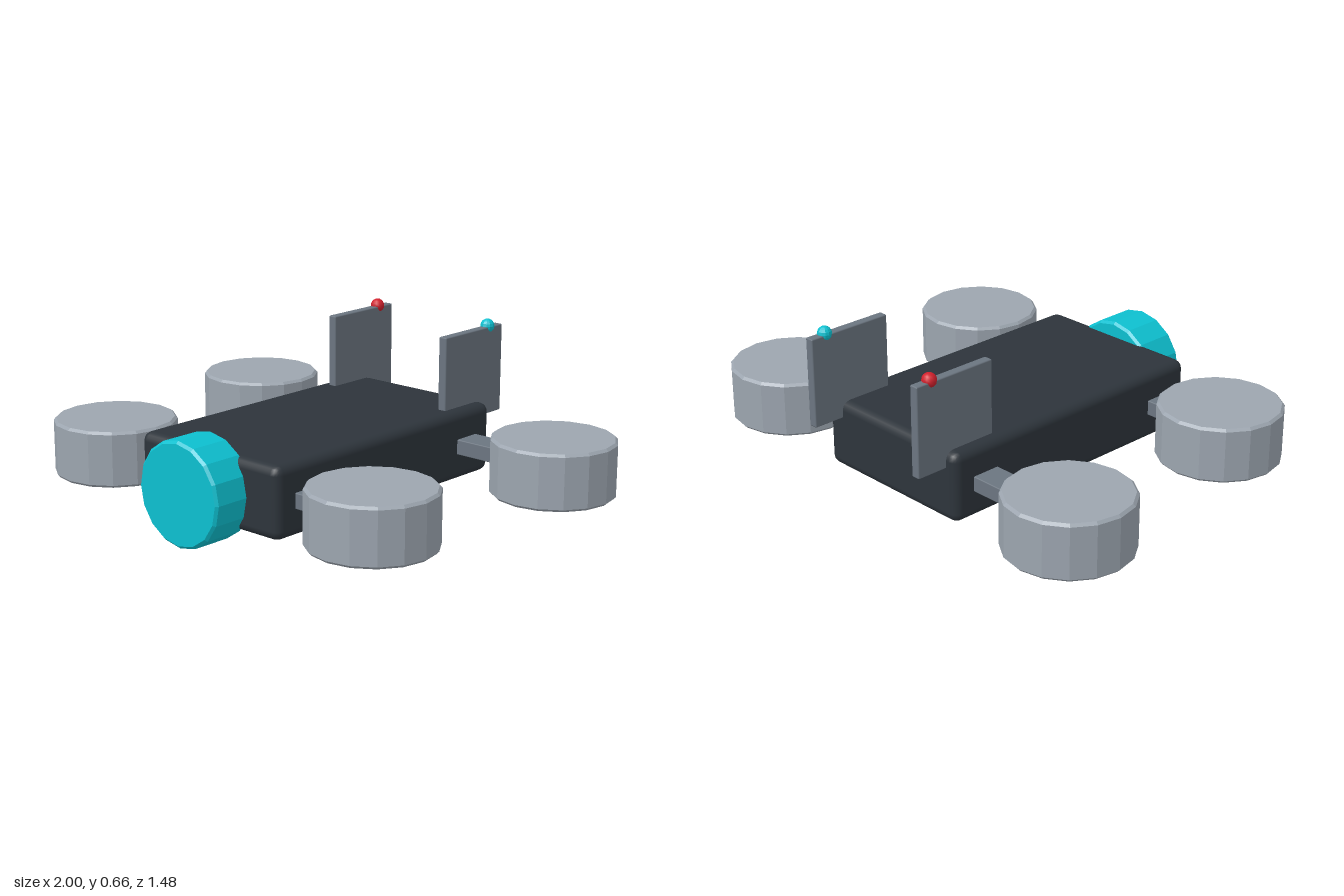
import * as THREE from 'three';
import { RoundedBoxGeometry } from 'three/addons/geometries/RoundedBoxGeometry.js';

function material(name, color, flatShading = false) {
  const m = new THREE.MeshStandardMaterial({ color, flatShading });
  m.name = name;
  return m;
}

// Upright 16-sided drum, centred on its origin, with a small bevel on both rims
function drum(radius, height, bevel) {
  const h = height / 2;
  const profile = [
    [0, -h], [radius - bevel, -h], [radius, -h + bevel],
    [radius, h - bevel], [radius - bevel, h], [0, h],
  ].map(([x, y]) => new THREE.Vector2(x, y));
  return new THREE.LatheGeometry(profile, 16);
}

export function createModel() {
  const group = new THREE.Group();
  const dark = material('dark shell', 0x2d343b);
  const grey = material('mid grey', 0x6b7580);
  const light = material('light grey', 0x9ca5af, true);
  const teal = material('teal', 0x0dc0d0, true);
  const red = material('red', 0xd0202c);

  function add(name, geometry, mat, x, y, z) {
    const mesh = new THREE.Mesh(geometry, mat);
    mesh.name = name;
    mesh.position.set(x, y, z);
    group.add(mesh);
    return mesh;
  }

  // Central hull
  add('body', new RoundedBoxGeometry(0.7, 0.274, 1.205, 2, 0.035), dark, 0, 0.207, -0.008);

  // Round sensor on the nose
  const nose = add('noseSensor', drum(0.2, 0.178, 0.01), teal, 0, 0.205, 0.651);
  nose.rotation.x = Math.PI / 2;

  // Rotor pods on arms, with a thruster disc beneath each
  const podGeometry = drum(0.239, 0.218, 0.01);
  const discGeometry = new THREE.CylinderGeometry(0.167, 0.167, 0.006, 24);
  const lampGeometry = new THREE.SphereGeometry(0.028, 12, 8);
  for (const side of [-1, 1]) {
    const s = side < 0 ? 'right' : 'left';
    for (const [end, x, z] of [['Front', 0.658, 0.445], ['Rear', 0.761, -0.464]]) {
      const armLength = x - 0.2;
      add(s + end + 'Arm', new RoundedBoxGeometry(armLength, 0.06, 0.116, 1, 0.004), grey,
        side * (0.2 + armLength / 2), 0.205, z);
      add(s + end + 'Pod', podGeometry, light, side * x, 0.205, z);
      add(s + end + 'Thruster', discGeometry, teal, side * x, 0.0965, z);
    }

    // Tail fin and its signal lamp
    add(s + 'Fin', new RoundedBoxGeometry(0.036, 0.35, 0.35, 1, 0.005), grey, side * 0.284, 0.456, -0.562);
    add(s + 'Lamp', lampGeometry, side < 0 ? red : teal, side * 0.284, 0.632, -0.665);
  }

  return group;
}
